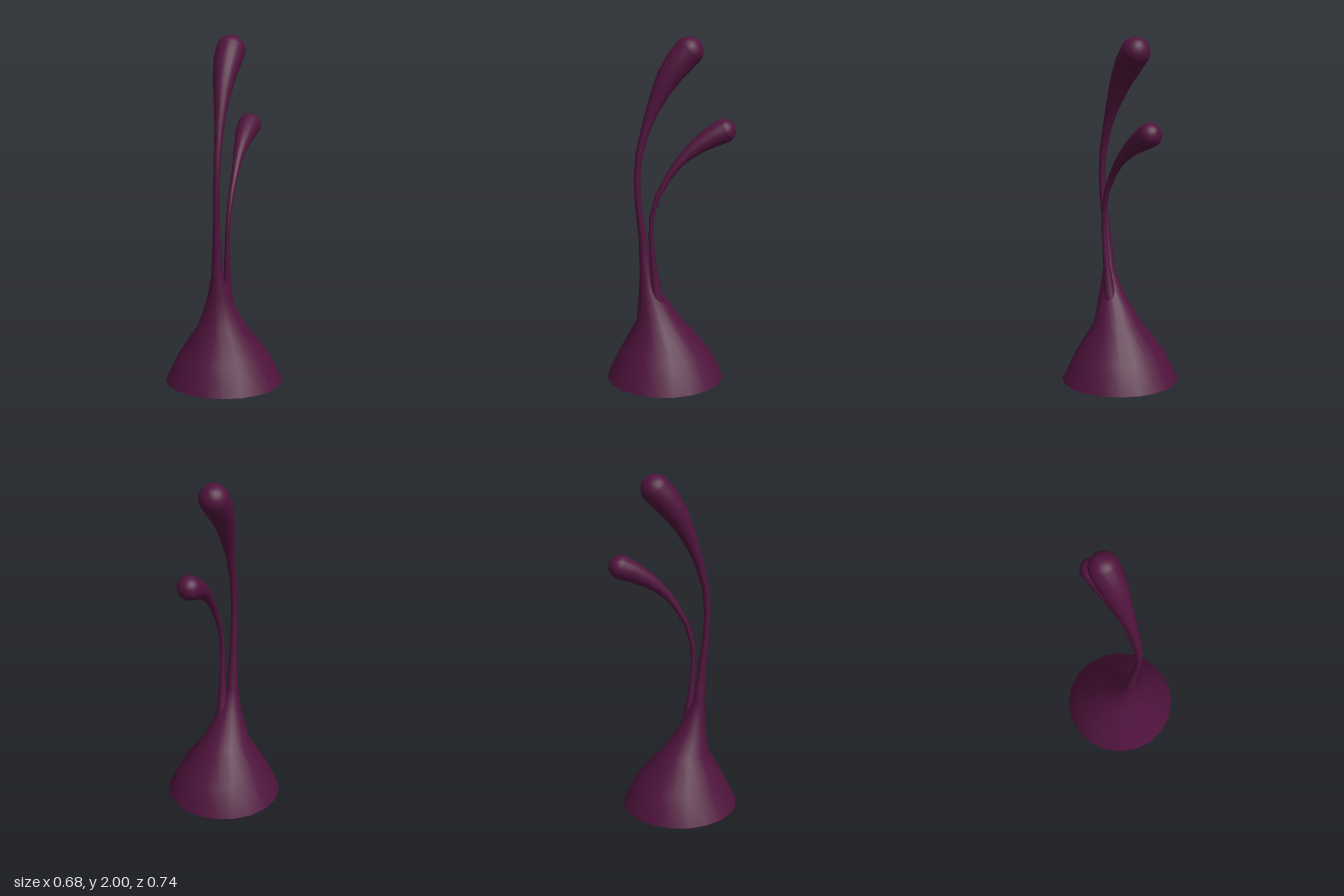
import * as THREE from 'three';

const SIDES = 20;
const material = new THREE.MeshStandardMaterial({ color: 0x4f133c, roughness: 0.7 });

// Skins circular sections [y, x, z, radius]; the first `flat` rings stay level,
// the others follow the spine, and the last one is closed by a round tip.
function stalkGeometry(sections, flat) {
  const centres = sections.map(([y, x, z]) => new THREE.Vector3(x, y, z));
  const last = sections.length - 1;
  const rings = sections.map((s, i) => {
    const dir = i < flat
      ? new THREE.Vector3(0, 1, 0)
      : centres[Math.min(i + 1, last)].clone().sub(centres[i - 1]).normalize();
    return { centre: centres[i], dir, radius: s[3] };
  });

  // rounded tip
  const end = rings[last];
  for (let k = 1; k <= 7; k++) {
    const a = (k / 7) * Math.PI / 2;
    rings.push({
      centre: end.centre.clone().addScaledVector(end.dir, end.radius * Math.sin(a)),
      dir: end.dir,
      radius: Math.max(end.radius * Math.cos(a), 0.0005),
    });
  }

  const positions = [], index = [];
  rings.forEach(({ centre, dir, radius }, i) => {
    const u = new THREE.Vector3(1, 0, 0).addScaledVector(dir, -dir.x).normalize();
    const v = new THREE.Vector3().crossVectors(dir, u);
    for (let j = 0; j < SIDES; j++) {
      const a = (j / SIDES) * Math.PI * 2;
      const p = centre.clone()
        .addScaledVector(u, radius * Math.cos(a))
        .addScaledVector(v, radius * Math.sin(a));
      positions.push(p.x, p.y, p.z);
      if (i < rings.length - 1) {
        const n = (j + 1) % SIDES, r0 = i * SIDES, r1 = r0 + SIDES;
        index.push(r0 + j, r0 + n, r1 + j, r0 + n, r1 + n, r1 + j);
      }
    }
  });
  const geometry = new THREE.BufferGeometry();
  geometry.setAttribute('position', new THREE.Float32BufferAttribute(positions, 3));
  geometry.setIndex(index);
  geometry.computeVertexNormals();
  return geometry;
}

export function createModel() {
  const group = new THREE.Group();
  const add = (name, geometry) => {
    const mesh = new THREE.Mesh(geometry, material);
    mesh.name = name;
    group.add(mesh);
    return mesh;
  };

  // flared foot growing into the tall stalk and its bulb
  add('footAndTallStalk', stalkGeometry([
    [0, 0, 0.03, 0.34],
    [0.16, 0, 0.03, 0.266],
    [0.34, -0.003, 0.06, 0.138],
    [0.52, 0, 0.115, 0.067],
    [0.65, -0.003, 0.142, 0.034],
    [0.85, 0, 0.158, 0.023],
    [1.05, 0.007, 0.184, 0.019],
    [1.2, 0.011, 0.19, 0.019],
    [1.34, 0.012, 0.178, 0.021],
    [1.48, 0.009, 0.141, 0.026],
    [1.59, 0.005, 0.1, 0.037],
    [1.69, 0, 0.054, 0.052],
    [1.77, -0.003, 0.01, 0.066],
    [1.85, -0.005, -0.048, 0.08],
    [1.915, -0.005, -0.107, 0.084],
  ], 5));

  // shorter stalk leaning further back
  add('shortStalk', stalkGeometry([
    [0.38, 0.025, 0.06, 0.06],
    [0.52, 0.036, 0.085, 0.034],
    [0.68, 0.044, 0.102, 0.019],
    [0.86, 0.05, 0.117, 0.014],
    [0.98, 0.055, 0.114, 0.014],
    [1.11, 0.06, 0.079, 0.016],
    [1.225, 0.062, 0.014, 0.021],
    [1.29, 0.06, -0.035, 0.026],
    [1.34, 0.057, -0.085, 0.034],
    [1.39, 0.053, -0.15, 0.046],
    [1.435, 0.05, -0.225, 0.06],
    [1.47, 0.048, -0.3, 0.069],
  ], 2));

  // underside of the foot
  const bottom = add('underside', new THREE.CircleGeometry(0.34, SIDES).rotateX(Math.PI / 2));
  bottom.position.z = 0.03;

  return group;
}
